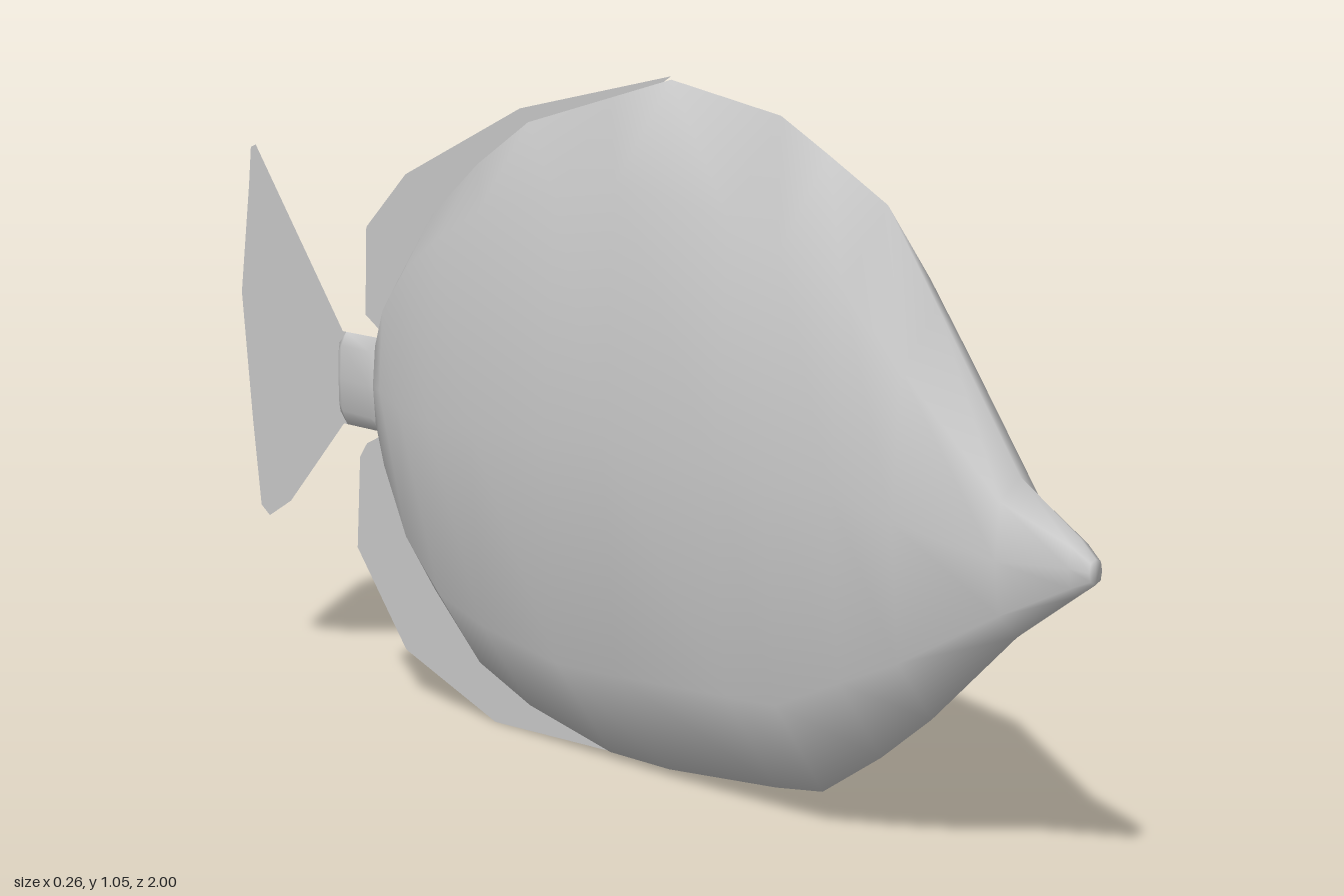
import * as THREE from 'three';

const skin = new THREE.MeshStandardMaterial({ color: 0xcccccc, side: THREE.DoubleSide });
skin.name = 'pale grey';

// Cross-section, bottom to top along one side: [share of half width, share of height]
const SIDE = [[0.81, 0.155], [1, 0.5], [0.81, 0.86]];
const RING = [[0, 0], ...SIDE, [0, 1], ...SIDE.slice().reverse().map(([x, y]) => [-x, y])];

// Skin rings [z, bottom, top, half width] into one smooth closed surface
function loft(sections) {
  const pos = [], idx = [], n = RING.length;
  for (const [z, lo, hi, w] of sections) {
    for (const [x, y] of RING) pos.push(x * w, lo + (hi - lo) * y, z);
  }
  for (let s = 0; s < sections.length - 1; s++) {
    for (let i = 0; i < n; i++) {
      const a = s * n + i, b = s * n + (i + 1) % n;
      idx.push(a, b, a + n, b, b + n, a + n);
    }
  }
  // End caps
  const last = (sections.length - 1) * n;
  for (let i = 1; i < n - 1; i++) {
    idx.push(0, i + 1, i, last, last + i, last + i + 1);
  }
  // Front-to-back rings wound anticlockwise need their faces turned outwards
  for (let i = 0; i < idx.length; i += 3) [idx[i + 1], idx[i + 2]] = [idx[i + 2], idx[i + 1]];
  const g = new THREE.BufferGeometry();
  g.setAttribute('position', new THREE.Float32BufferAttribute(pos, 3));
  g.setIndex(idx);
  g.computeVertexNormals();
  return g;
}

// Flat fin in the centre plane from [z, y] points
function fin(points) {
  const shape = new THREE.Shape(points.map(([z, y]) => new THREE.Vector2(z, y)));
  return new THREE.ShapeGeometry(shape).rotateY(-Math.PI / 2);
}

export function createModel() {
  const fish = new THREE.Group();
  fish.name = 'fish';
  const add = (name, geometry) => {
    const mesh = new THREE.Mesh(geometry, skin);
    mesh.name = name;
    fish.add(mesh);
  };

  // Tall narrow body, snout to tail root
  add('body', loft([
    [1.0, 0.44, 0.475, 0.012],
    [0.97, 0.42, 0.5, 0.02],
    [0.86, 0.345, 0.565, 0.045],
    [0.7, 0.2, 0.775, 0.083],
    [0.6, 0.125, 0.905, 0.103],
    [0.48, 0.05, 0.965, 0.115],
    [0.38, 0.035, 1.013, 0.122],
    [0.14, 0.012, 1.05, 0.131],
    [0.0, 0.01, 1.015, 0.131],
    [-0.2, 0.045, 0.965, 0.117],
    [-0.33, 0.09, 0.89, 0.1],
    [-0.45, 0.19, 0.8, 0.07],
    [-0.54, 0.33, 0.69, 0.042],
    [-0.58, 0.42, 0.6, 0.026],
  ]));

  // Tail root
  add('tailRoot', loft([
    [-0.55, 0.425, 0.59, 0.03],
    [-0.6, 0.43, 0.585, 0.022],
    [-0.69, 0.43, 0.585, 0.013],
    [-0.71, 0.45, 0.565, 0.003],
  ]));

  add('dorsalFin', fin([
    [0.14, 1.055], [-0.22, 0.985], [-0.52, 0.86], [-0.63, 0.765], [-0.635, 0.62],
    [-0.58, 0.59], [-0.5, 0.6], [-0.4, 0.76], [-0.2, 0.9], [0.0, 0.98],
  ]));

  add('analFin', fin([
    [0.02, 0.012], [-0.29, 0], [-0.53, 0.075], [-0.665, 0.225], [-0.655, 0.38],
    [-0.635, 0.405], [-0.59, 0.425], [-0.5, 0.42], [-0.4, 0.25], [-0.2, 0.1],
  ]));

  add('tailFin', fin([
    [-0.69, 0.585], [-0.7, 0.585], [-0.95, 0.877], [-0.965, 0.872], [-0.972, 0.81],
    [-1, 0.62], [-0.972, 0.4], [-0.95, 0.255], [-0.925, 0.24], [-0.86, 0.275],
    [-0.7, 0.43], [-0.69, 0.43],
  ]));

  return fish;
}
